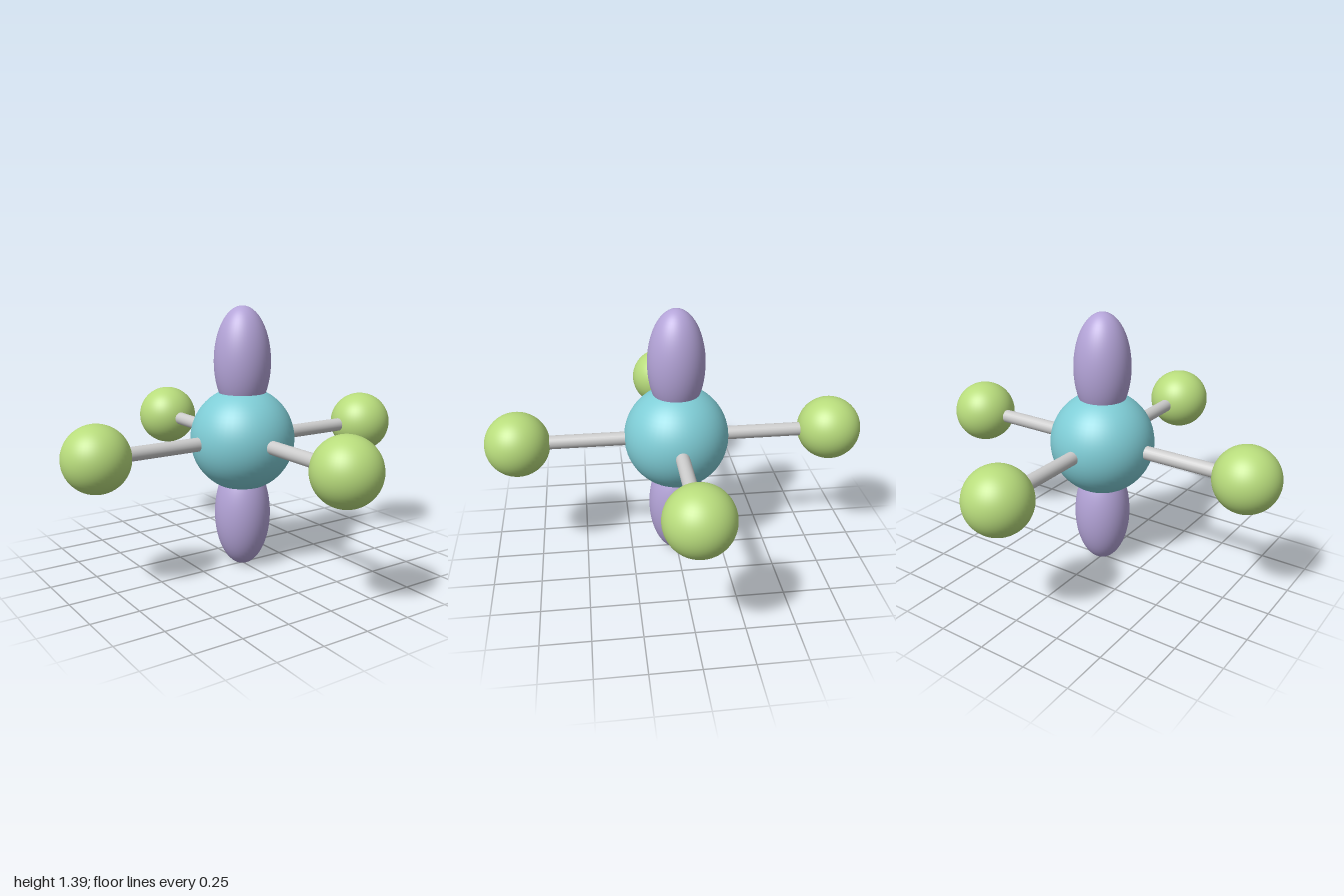
import * as THREE from 'three';

const paint = (name, color) => {
  const m = new THREE.MeshStandardMaterial({ color });
  m.name = name;
  return m;
};

export function createModel() {
  const model = new THREE.Group();
  model.name = 'moleculeModel';

  const teal = paint('teal', 0x7fcdd6);
  const green = paint('green', 0xb8dc7c);
  const lilac = paint('lilac', 0xb4a4d8);
  const grey = paint('grey', 0xcccccc);

  const midY = 0.696;
  const add = (parent, name, geometry, material, x = 0, y = 0, z = 0) => {
    const mesh = new THREE.Mesh(geometry, material);
    mesh.name = name;
    mesh.position.set(x, y, z);
    parent.add(mesh);
    return mesh;
  };

  // Central atom
  add(model, 'centralAtom', new THREE.SphereGeometry(0.276, 48, 32), teal, 0, midY, 0);

  // Four bonds with outer atoms, in a horizontal cross
  const atomGeometry = new THREE.SphereGeometry(0.169, 48, 32);
  const bondGeometry = new THREE.CylinderGeometry(0.036, 0.036, 0.83, 24);
  bondGeometry.rotateZ(Math.PI / 2);
  ['left', 'back', 'right', 'front'].forEach((side, i) => {
    const arm = new THREE.Group();
    arm.name = side + 'Arm';
    arm.position.y = midY;
    arm.rotation.y = i * Math.PI / 2;
    add(arm, side + 'Bond', bondGeometry, grey, 0.415);
    add(arm, side + 'Atom', atomGeometry, green, 0.831);
    model.add(arm);
  });

  // Lone-pair lobes above and below
  const lobeGeometry = new THREE.SphereGeometry(1, 48, 32);
  lobeGeometry.scale(0.149, 0.288, 0.149);
  add(model, 'upperLobe', lobeGeometry, lilac, 0, midY + 0.408, 0);
  add(model, 'lowerLobe', lobeGeometry, lilac, 0, midY - 0.408, 0);

  return model;
}
